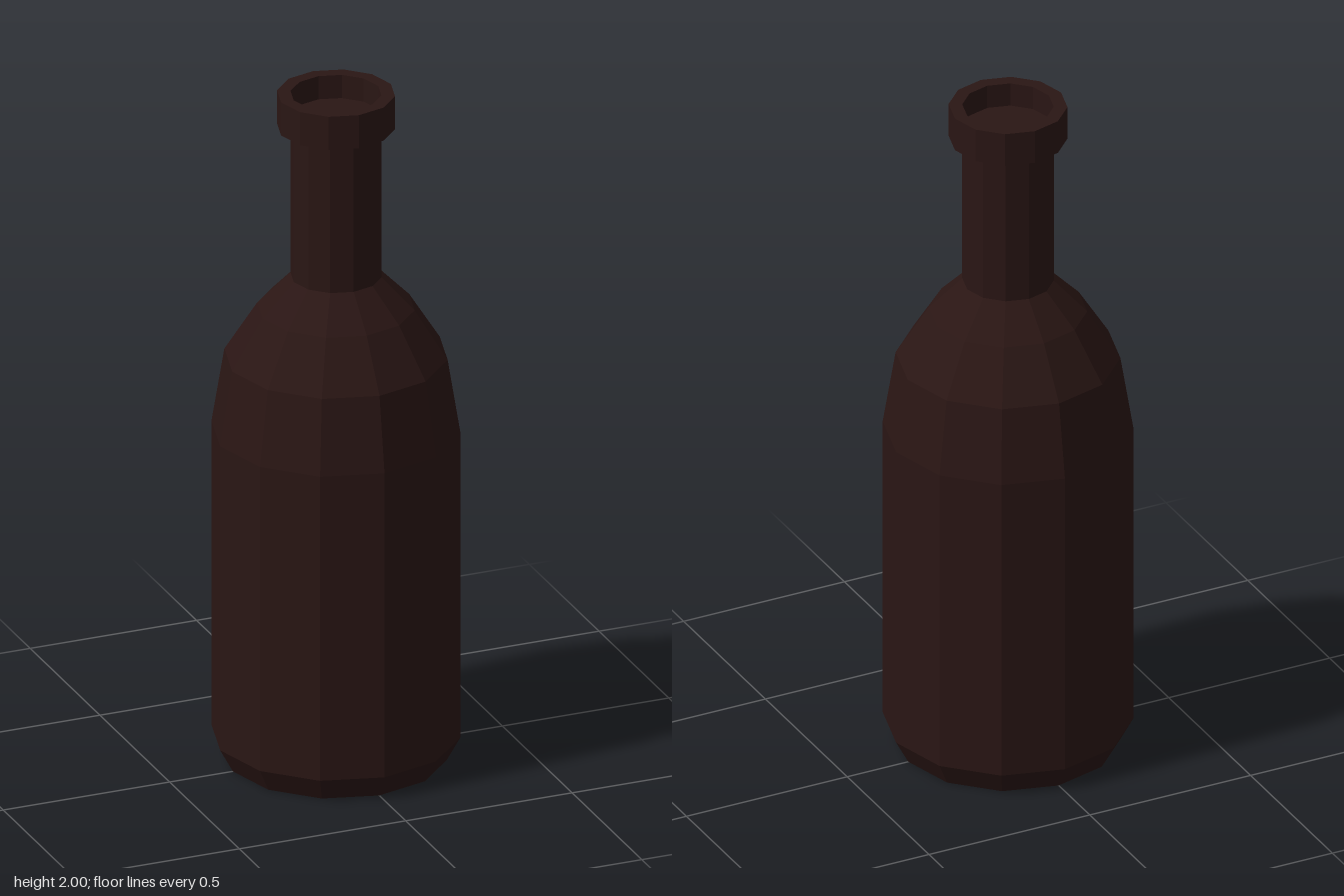
import * as THREE from 'three';

const SIDES = 12;

export function createModel() {
  const bottle = new THREE.Group();
  bottle.name = 'bottle';
  const glass = new THREE.MeshStandardMaterial({ color: 0x2a1614, flatShading: true });

  // Turns a [radius, height] profile, listed from bottom to top, into a faceted part
  function turned(name, profile) {
    const points = profile.map(([r, y]) => new THREE.Vector2(r, y));
    const mesh = new THREE.Mesh(new THREE.LatheGeometry(points, SIDES), glass);
    mesh.name = name;
    bottle.add(mesh);
  }

  // Closed base with a bevel, straight walls and a rounded shoulder
  turned('body', [
    [0, 0], [0.31, 0], [0.348, 0.07], [0.348, 0.99],
    [0.312, 1.21], [0.22, 1.355], [0.127, 1.45],
  ]);

  // Straight neck
  turned('neck', [[0.127, 1.45], [0.127, 1.9]]);

  // Lip ring around a shallow mouth
  turned('lip', [
    [0.127, 1.9], [0.165, 1.9], [0.165, 2], [0.127, 2], [0.127, 1.93], [0, 1.93],
  ]);

  return bottle;
}
